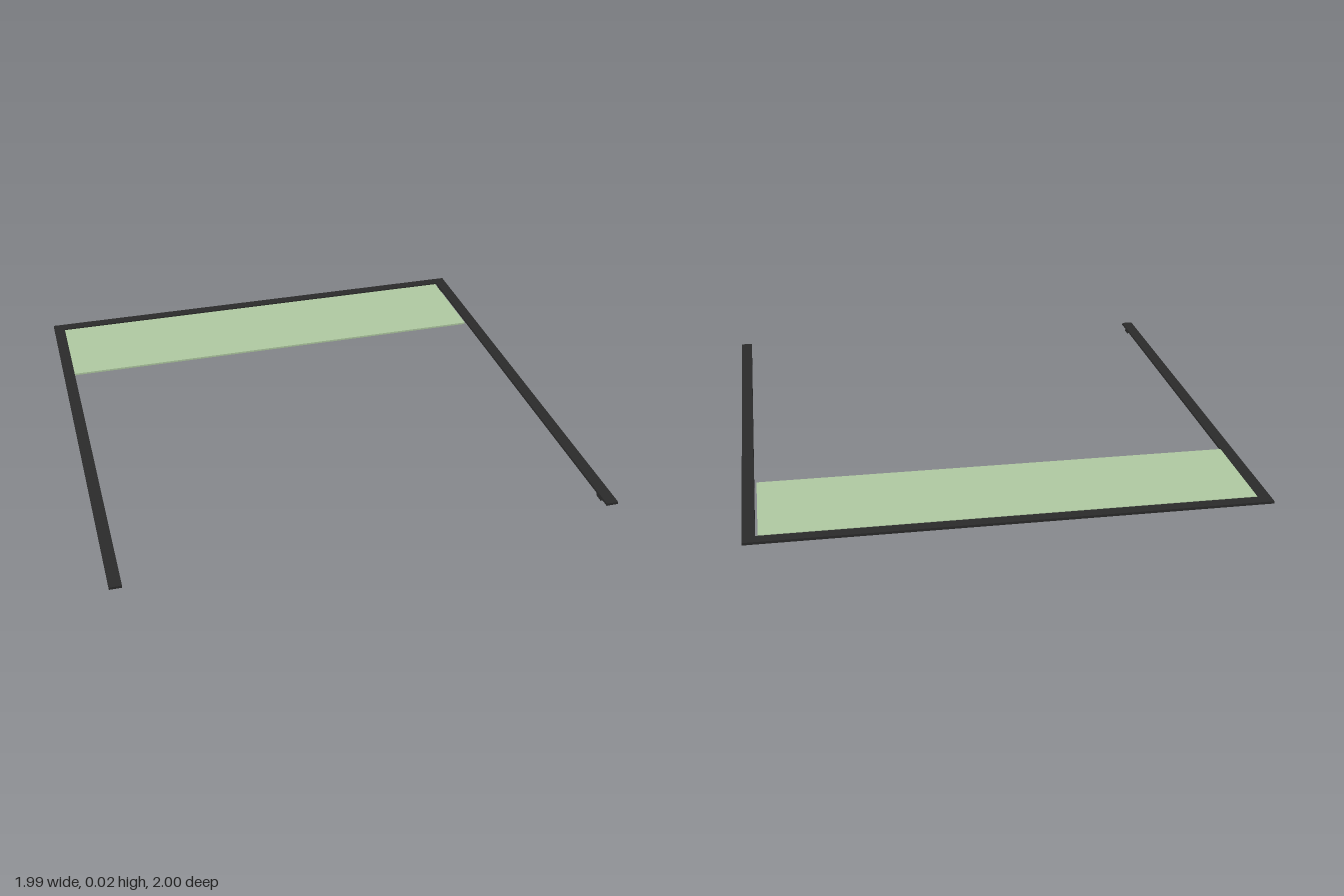
import * as THREE from 'three';

export function createModel() {
  const model = new THREE.Group();
  const dark = new THREE.MeshStandardMaterial({ color: 0x2b2b2b });
  const green = new THREE.MeshStandardMaterial({ color: 0xb0caa2 });

  // Box given by its extents along each axis
  const addBox = (name, material, [x0, x1], [y0, y1], [z0, z1]) => {
    const mesh = new THREE.Mesh(new THREE.BoxGeometry(x1 - x0, y1 - y0, z1 - z0), material);
    mesh.position.set((x0 + x1) / 2, (y0 + y1) / 2, (z0 + z1) / 2);
    mesh.name = name;
    model.add(mesh);
  };

  // U-shaped frame, open at the front, with mitred flat rails in one piece
  const outer = 0.995, inner = 0.947, backInner = 0.955;
  const outline = new THREE.Shape([
    [-outer, -1], [-inner, -1], [-inner, backInner], [inner, backInner],
    [inner, -1], [outer, -1], [outer, 1], [-outer, 1],
  ].map(([x, y]) => new THREE.Vector2(x, y)));
  const frameGeometry = new THREE.ExtrudeGeometry(outline, { depth: 0.01, bevelEnabled: false });
  frameGeometry.rotateX(-Math.PI / 2);
  const frame = new THREE.Mesh(frameGeometry, dark);
  frame.name = 'frame';
  frame.position.y = 0.014;
  model.add(frame);

  // Thin panel set into the back of the frame
  addBox('panel', green, [-0.947, 0.938], [0.014, 0.022], [-0.948, -0.525]);

  // Low feet under the four corners
  for (const side of [-1, 1]) {
    const x = side * 0.971;
    for (const z of [-0.922, 0.928]) {
      addBox('foot', dark, [x - 0.022, x + 0.022], [0, 0.014], [z - 0.019, z + 0.019]);
    }
  }
  return model;
}
